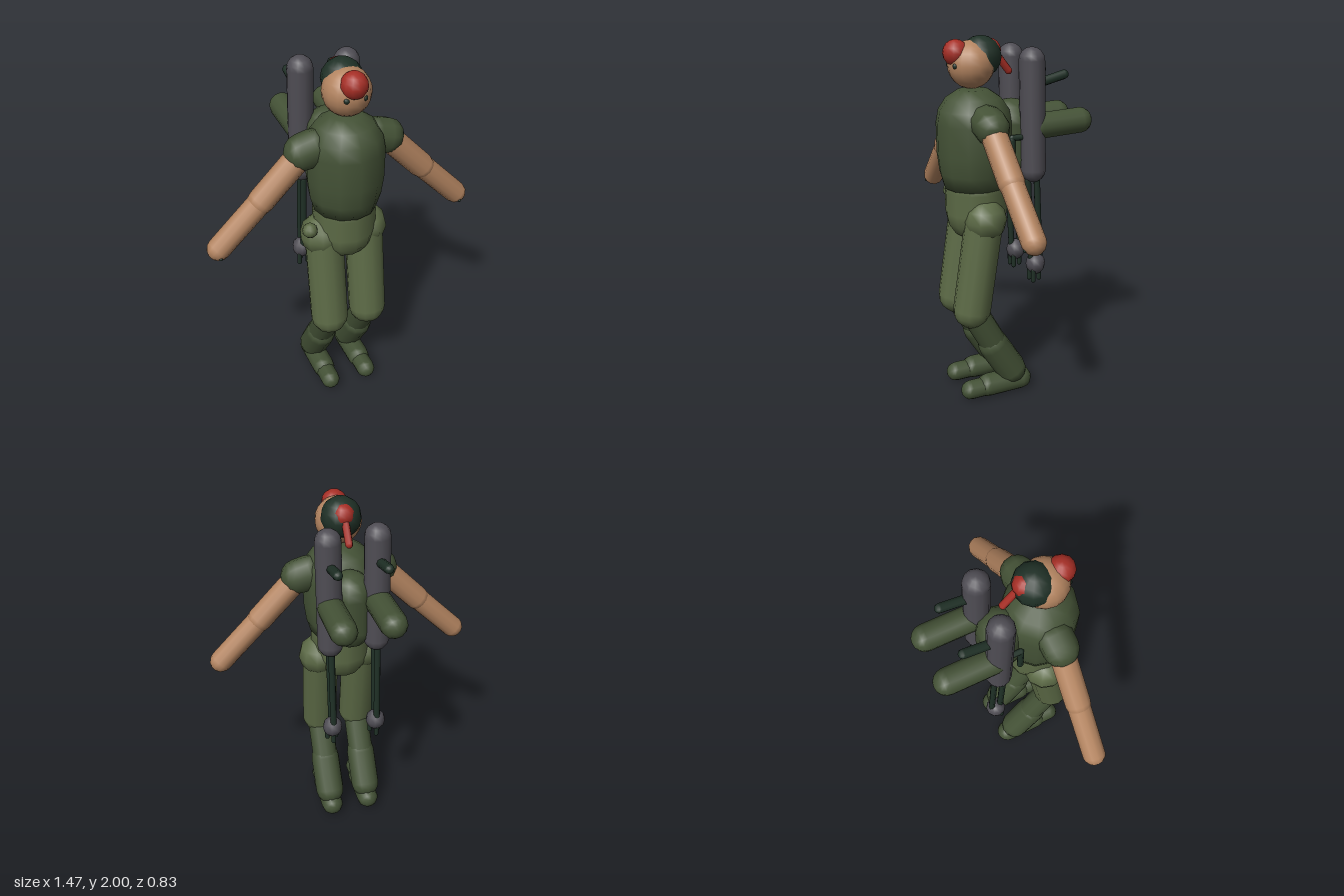
import * as THREE from 'three';

const mat = (name, color) => {
  const m = new THREE.MeshStandardMaterial({ color });
  m.name = name;
  return m;
};

export function createModel() {
  const olive = mat('dark olive', 0x445236);
  const pants = mat('light olive', 0x5b6945);
  const skin = mat('skin', 0xb38460);
  const red = mat('red', 0xa62e25);
  const gray = mat('metal gray', 0x4f4d54);
  const dark = mat('dark green', 0x1f3026);

  const model = new THREE.Group();
  model.name = 'jetpackFigure';

  // Round-ended limb between two points
  const limb = (parent, name, material, a, b, r, sides = 12) => {
    const p = new THREE.Vector3(...a), q = new THREE.Vector3(...b);
    const d = q.clone().sub(p);
    const mesh = new THREE.Mesh(new THREE.CapsuleGeometry(r, d.length(), 4, sides), material);
    mesh.position.copy(p).add(q).multiplyScalar(0.5);
    mesh.quaternion.setFromUnitVectors(new THREE.Vector3(0, 1, 0), d.normalize());
    mesh.name = name;
    parent.add(mesh);
    return mesh;
  };

  const ball = (parent, name, material, c, r, sides = 12) => {
    const mesh = new THREE.Mesh(new THREE.SphereGeometry(r, sides, Math.max(6, sides - 4)), material);
    mesh.position.set(...c);
    mesh.name = name;
    parent.add(mesh);
    return mesh;
  };

  // Head with hair, headband knots and ribbon
  const head = new THREE.Group();
  head.name = 'head';
  model.add(head);
  ball(head, 'face', skin, [0, 1.857, 0.225], 0.122, 16);
  ball(head, 'hair', dark, [0, 1.895, 0.17], 0.106);
  ball(head, 'frontKnot', red, [0, 1.918, 0.307], 0.068);
  ball(head, 'backKnot', red, [0, 1.925, 0.123], 0.06);
  limb(head, 'ribbon', red, [0, 1.91, 0.09], [0, 1.815, 0.015], 0.02, 8);

  // Torso, rounded at the shoulders and cut flat at the waist
  const profile = [[0, 1.22], [0.165, 1.22], [0.188, 1.3], [0.2, 1.4], [0.2, 1.56],
    [0.186, 1.63], [0.145, 1.69], [0.08, 1.732], [0, 1.738]];
  const torso = new THREE.Mesh(
    new THREE.LatheGeometry(profile.map(([x, y]) => new THREE.Vector2(x, y)), 12), olive);
  torso.position.z = 0.215;
  torso.name = 'torso';
  model.add(torso);

  // Waist, pelvis and belt pouch
  limb(model, 'pelvis', pants, [0, 1.2, 0.21], [0, 1.082, 0.21], 0.167);
  ball(model, 'beltPouch', pants, [-0.215, 1.145, 0.275], 0.04, 10);

  // Packs between the two tanks
  limb(model, 'backpack', olive, [0, 1.55, 0], [0, 1.36, 0], 0.122, 10);

  for (const s of [1, -1]) {
    const side = s > 0 ? 'left' : 'right';
    ball(head, side + 'Eye', dark, [s * 0.045, 1.857, 0.326], 0.017, 8);

    // Arm
    const arm = new THREE.Group();
    arm.name = side + 'Arm';
    model.add(arm);
    limb(arm, 'sleeve', olive, [s * 0.165, 1.585, 0.212], [s * 0.225, 1.57, 0.212], 0.092, 10);
    limb(arm, 'upperArm', skin, [s * 0.225, 1.565, 0.213], [s * 0.445, 1.342, 0.21], 0.067);
    limb(arm, 'forearm', skin, [s * 0.445, 1.342, 0.21], [s * 0.675, 1.115, 0.205], 0.061);
    ball(arm, 'handMark', dark, [s * 0.68, 1.085, 0.253], 0.01, 6);

    // Leg, bent at the knee
    const leg = new THREE.Group();
    leg.name = side + 'Leg';
    model.add(leg);
    const x = s * 0.114;
    ball(leg, 'hip', pants, [s * 0.125, 1.06, 0.21], 0.116, 10);
    limb(leg, 'thigh', pants, [x, 1.04, 0.215], [x, 0.555, 0.29], 0.103);
    limb(leg, 'shin', olive, [x, 0.53, 0.275], [x, 0.3, 0.15], 0.076);
    limb(leg, 'bootShaft', olive, [x, 0.315, 0.165], [x, 0.14, 0.055], 0.086);
    limb(leg, 'foot', olive, [x, 0.066, 0], [x, 0.066, 0.2], 0.066, 10);
    limb(leg, 'toe', olive, [x, 0.06, 0.2], [x, 0.06, 0.305], 0.055, 10);

    // Jet tank with thruster, exhaust rod and control handle
    const jet = new THREE.Group();
    jet.name = side + 'Jet';
    model.add(jet);
    const t = s * 0.125;
    limb(jet, 'tank', gray, [t, 1.877, -0.057], [t, 1.305, -0.07], 0.068);
    limb(jet, 'thruster', olive, [t, 1.535, -0.1], [t, 1.547, -0.343], 0.07);
    limb(jet, 'rearRod', dark, [t, 1.76, -0.1], [t, 1.795, -0.245], 0.025, 8);
    limb(jet, 'handleBar', dark, [t, 1.485, -0.03], [t, 1.485, 0.053], 0.016, 8);
    limb(jet, 'handleGrip', dark, [t, 1.475, 0.053], [t, 1.305, 0.053], 0.017, 8);

    // Hanging pipes ending in a three-pronged claw
    limb(jet, 'frontPipe', dark, [t, 1.25, -0.04], [t, 0.79, -0.063], 0.018, 8);
    limb(jet, 'backPipe', dark, [t, 1.25, -0.093], [t, 0.79, -0.115], 0.018, 8);
    const joint = ball(jet, 'clawJoint', gray, [t, 0.767, -0.09], 0.055, 10);
    joint.scale.y = 1.12;
    for (const [dx, dz] of [[0.025, -0.065], [-0.025, -0.065], [0, -0.112]]) {
      limb(jet, 'clawProng', dark, [t + dx, 0.735, dz], [t + dx, 0.676, dz], 0.014, 8);
    }
  }
  return model;
}
